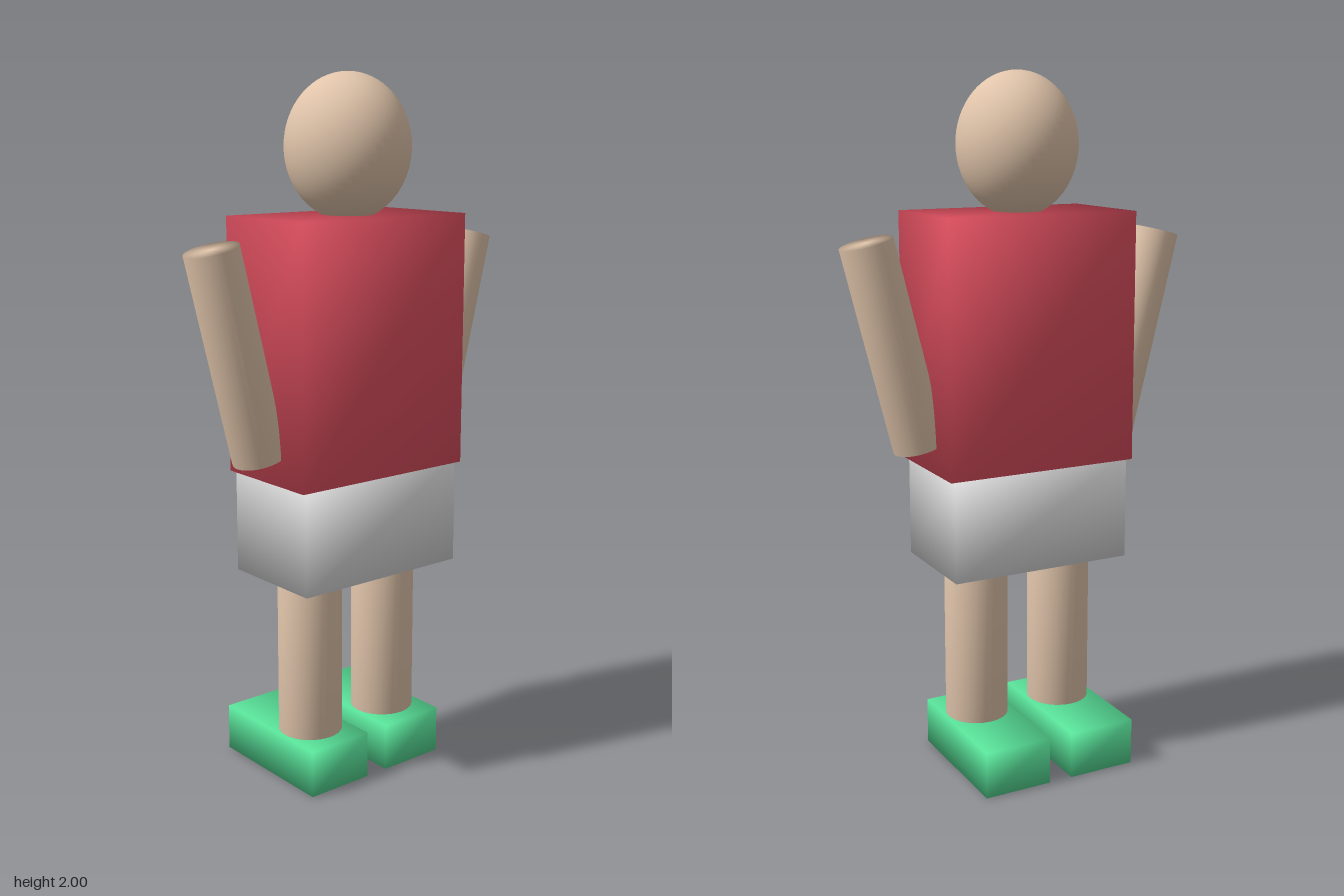
import * as THREE from 'three';
import { mergeVertices } from 'three/addons/utils/BufferGeometryUtils.js';

const Z = 0.043; // depth of the body's axis

function material(name, color) {
  const m = new THREE.MeshStandardMaterial({ color });
  m.name = name;
  return m;
}

// Shares vertices across corners so the shading runs softly round the edges.
function soften(geometry) {
  geometry.deleteAttribute('normal');
  geometry.deleteAttribute('uv');
  const g = mergeVertices(geometry, 1e-4);
  g.computeVertexNormals();
  return g;
}

export function createModel() {
  const model = new THREE.Group();
  model.name = 'figure';
  const skin = material('skin', 0xe0c4aa);
  const red = material('shirtRed', 0xe05060);
  const white = material('shortsWhite', 0xe0e0e0);
  const green = material('shoeGreen', 0x58e098);

  const add = (name, geometry, mat, x, y, z) => {
    const mesh = new THREE.Mesh(geometry, mat);
    mesh.name = name;
    mesh.position.set(x, y, z);
    model.add(mesh);
    return mesh;
  };
  const box = (w, h, d) => soften(new THREE.BoxGeometry(w, h, d));
  const rod = (r, h) => soften(new THREE.CylinderGeometry(r, r, h, 32));

  // Head, shirt and shorts
  add('head', new THREE.SphereGeometry(1, 48, 32), skin, 0, 1.8, Z).scale.set(0.167, 0.2, 0.186);
  add('shirt', box(0.577, 0.715, 0.336), red, 0, 1.26, Z);
  add('shorts', box(0.547, 0.31, 0.322), white, 0, 0.763, Z);

  // Limbs, mirrored left and right
  for (const [side, s] of [['left', 1], ['right', -1]]) {
    const arm = add(side + 'Arm', rod(0.075, 0.592), skin, s * 0.381, 1.26, Z);
    arm.rotation.z = -s * 0.245;
    add(side + 'Leg', rod(0.0925, 0.56), skin, s * 0.137, 0.38, Z);
    add(side + 'Shoe', box(0.203, 0.137, 0.411), green, s * 0.137, 0.0685, -0.024);
  }
  return model;
}
